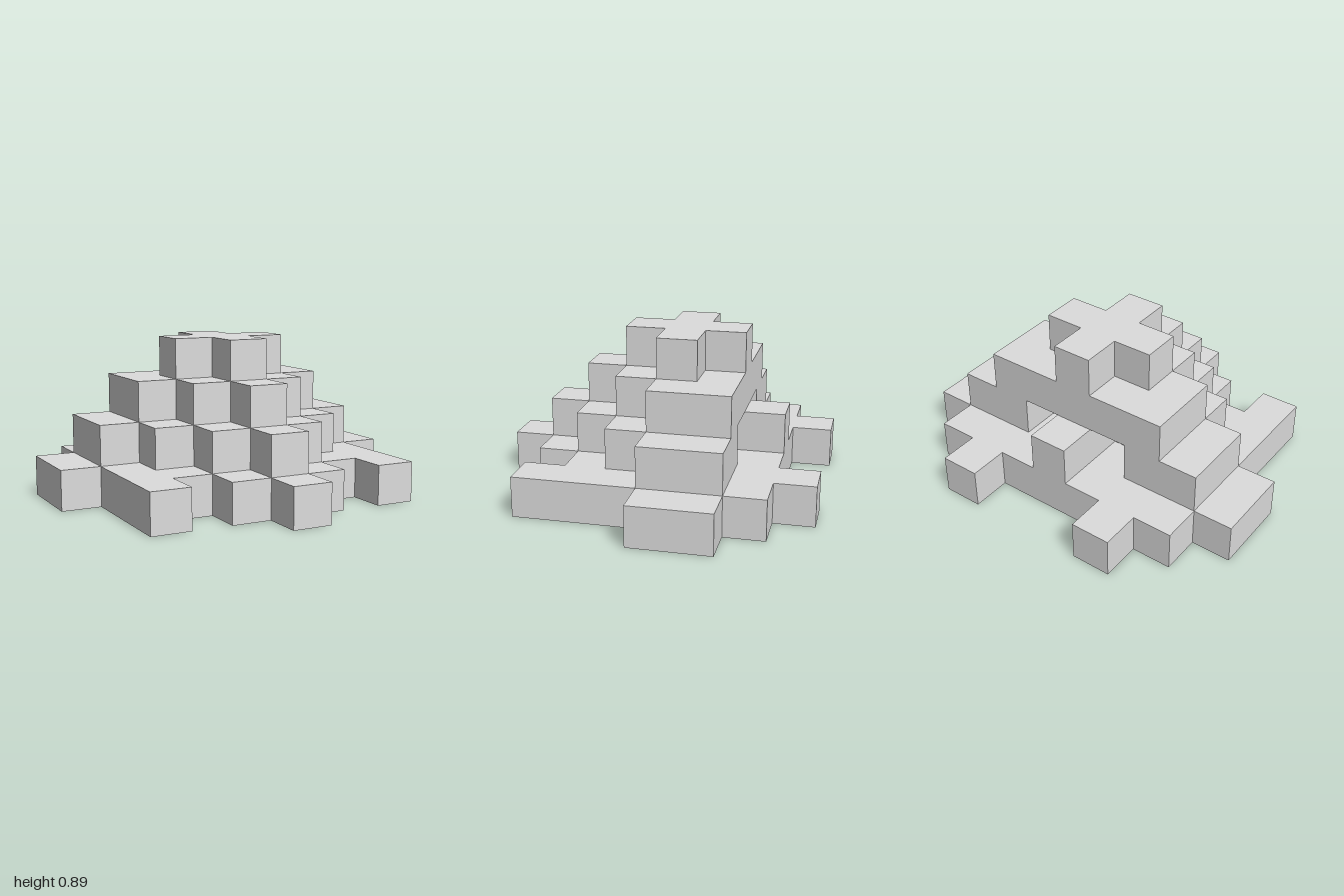
import * as THREE from 'three';

const CELL = 2 / 9; // edge of one cube

// Right half of each tier's outline, front to back: [x, row], in cube units
const TIERS = [
  ['baseTier', [[0.5, 8], [0.5, 7], [1.5, 7], [1.5, 6], [2.5, 6], [2.5, 7], [3.5, 7], [3.5, 4],
    [4.5, 4], [4.5, 2], [3.5, 2], [3.5, 1], [2.5, 1], [2.5, 0], [1.5, 0], [1.5, 1]]],
  // second tier has two niches in the back with a pillar between them
  ['secondTier', [[0.5, 7], [0.5, 6], [1.5, 6], [1.5, 5], [2.5, 5], [2.5, 4], [3.5, 4], [3.5, 2],
    [1.5, 2], [1.5, 3], [0.5, 3], [0.5, 1]]],
  ['thirdTier', [[0.5, 6], [0.5, 5], [1.5, 5], [1.5, 4], [2.5, 4], [2.5, 2]]],
  ['topCross', [[0.5, 5], [0.5, 4], [1.5, 4], [1.5, 3], [0.5, 3], [0.5, 2]]],
];

// Mirror a half outline across x = 0 and extrude it one cube upward
function tierGeometry(half) {
  const right = half.map(([x, row]) => new THREE.Vector2(x * CELL, (4 - row) * CELL));
  const left = right.map((p) => new THREE.Vector2(-p.x, p.y)).reverse();
  const geometry = new THREE.ExtrudeGeometry(new THREE.Shape([...right, ...left]), {
    depth: CELL,
    bevelEnabled: false,
  });
  return geometry.rotateX(-Math.PI / 2);
}

export function createModel() {
  const model = new THREE.Group();
  model.name = 'steppedCubeMound';
  const lightGrey = new THREE.MeshStandardMaterial({ color: 0xdcdcdc });
  lightGrey.name = 'lightGrey';

  TIERS.forEach(([name, half], level) => {
    const tier = new THREE.Mesh(tierGeometry(half), lightGrey);
    tier.name = name;
    tier.position.y = level * CELL;
    model.add(tier);
  });
  return model;
}
